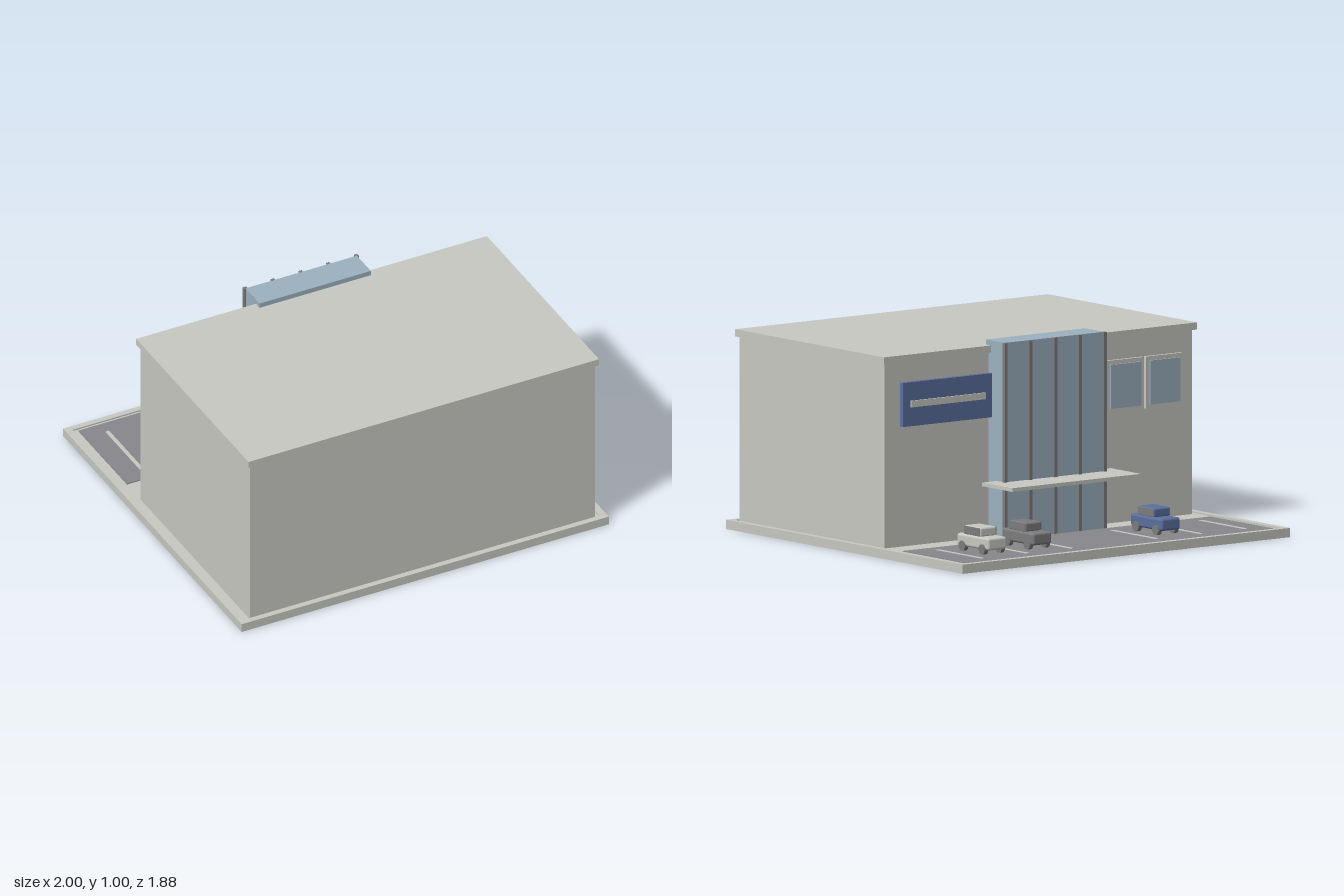
import * as THREE from 'three';
import { RoundedBoxGeometry } from 'three/addons/geometries/RoundedBoxGeometry.js';

const material = (name, color) => {
  const m = new THREE.MeshStandardMaterial({ color });
  m.name = name;
  return m;
};

export function createModel() {
  const model = new THREE.Group();
  model.name = 'storeBuilding';
  const concrete = material('concrete', 0xc8c8c2);
  const asphalt = material('asphalt', 0x88878b);
  const glass = material('glass', 0x9cb1c0);
  const blue = material('blue', 0x5a6f9e);
  const dark = material('darkGrey', 0x7c7c7e);

  const add = (parent, name, geometry, mat) => {
    const mesh = new THREE.Mesh(geometry, mat);
    mesh.name = name;
    parent.add(mesh);
    return mesh;
  };
  // Box given by its minimum and maximum on each axis
  const box = (name, mat, x0, x1, y0, y1, z0, z1, parent = model) => {
    const mesh = add(parent, name, new THREE.BoxGeometry(x1 - x0, y1 - y0, z1 - z0), mat);
    mesh.position.set((x0 + x1) / 2, (y0 + y1) / 2, (z0 + z1) / 2);
    return mesh;
  };

  // Ground slab with a low curb around it
  box('groundSlab', concrete, -1, 1, 0, 0.037, -0.94, 0.94);
  for (const s of [-1, 1]) {
    box('sideCurb', concrete, s * 0.9825 - 0.0175, s * 0.9825 + 0.0175, 0.037, 0.045, -0.94, 0.94);
    box('endCurb', concrete, -0.965, 0.965, 0.037, 0.045, s * 0.925 - 0.015, s * 0.925 + 0.015);
  }

  // Parking lot and bay lines
  box('parkingLot', asphalt, -0.94, 0.94, 0.037, 0.042, -0.895, -0.385);
  for (const x of [-0.82, -0.55, -0.28, 0.24, 0.51, 0.785]) {
    box('bayLine', concrete, x - 0.01, x + 0.01, 0.042, 0.044, -0.825, -0.46);
  }

  // Main hall and roof slab
  box('walls', concrete, -0.94, 0.94, 0.037, 0.94, -0.24, 0.91);
  box('roof', concrete, -0.955, 0.955, 0.94, 0.975, -0.258, 0.925);

  // Glass entrance tower with mullions and canopy
  box('glassTower', glass, -0.303, 0.303, 0.037, 1, -0.366, -0.219);
  for (let i = -2; i <= 2; i++) {
    const x = i * 0.1515;
    box('mullion', dark, x - 0.009, x + 0.009, 0.037, 1, -0.38, -0.362);
  }
  box('canopy', concrete, -0.393, 0.393, 0.3, 0.318, -0.545, -0.305);

  // Wall sign with a plain raised bar
  box('signPanel', blue, 0.298, 0.845, 0.625, 0.84, -0.265, -0.239);
  box('signBar', concrete, 0.345, 0.8, 0.718, 0.75, -0.275, -0.264);

  // Framed windows
  for (const x of [-0.518, -0.758]) {
    box('windowFrame', concrete, x - 0.112, x + 0.112, 0.58, 0.835, -0.256, -0.239);
    box('windowPane', glass, x - 0.0925, x + 0.0925, 0.6, 0.815, -0.265, -0.255);
  }

  // Parked cars
  const bodyGeometry = new RoundedBoxGeometry(0.114, 0.06, 0.252, 3, 0.012);
  const cabinGeometry = new RoundedBoxGeometry(0.1, 0.046, 0.132, 3, 0.01);
  const sideWindowGeometry = new RoundedBoxGeometry(0.004, 0.04, 0.126, 2, 0.0018);
  const wheelGeometry = new THREE.CylinderGeometry(0.025, 0.025, 0.022, 20).rotateZ(Math.PI / 2);
  for (const [x, paint] of [[-0.41, blue], [0.375, dark], [0.65, concrete]]) {
    const car = new THREE.Group();
    car.name = 'car';
    car.position.set(x, 0, -0.637);
    add(car, 'carBody', bodyGeometry, paint).position.y = 0.095;
    add(car, 'carCabin', cabinGeometry, paint).position.set(0, 0.145, 0.013);
    for (const s of [-1, 1]) {
      add(car, 'carSideWindow', sideWindowGeometry, dark).position.set(s * 0.05, 0.146, 0.013);
      for (const z of [-0.079, 0.079]) {
        add(car, 'wheel', wheelGeometry, dark).position.set(s * 0.051, 0.067, z);
      }
    }
    model.add(car);
  }
  return model;
}
